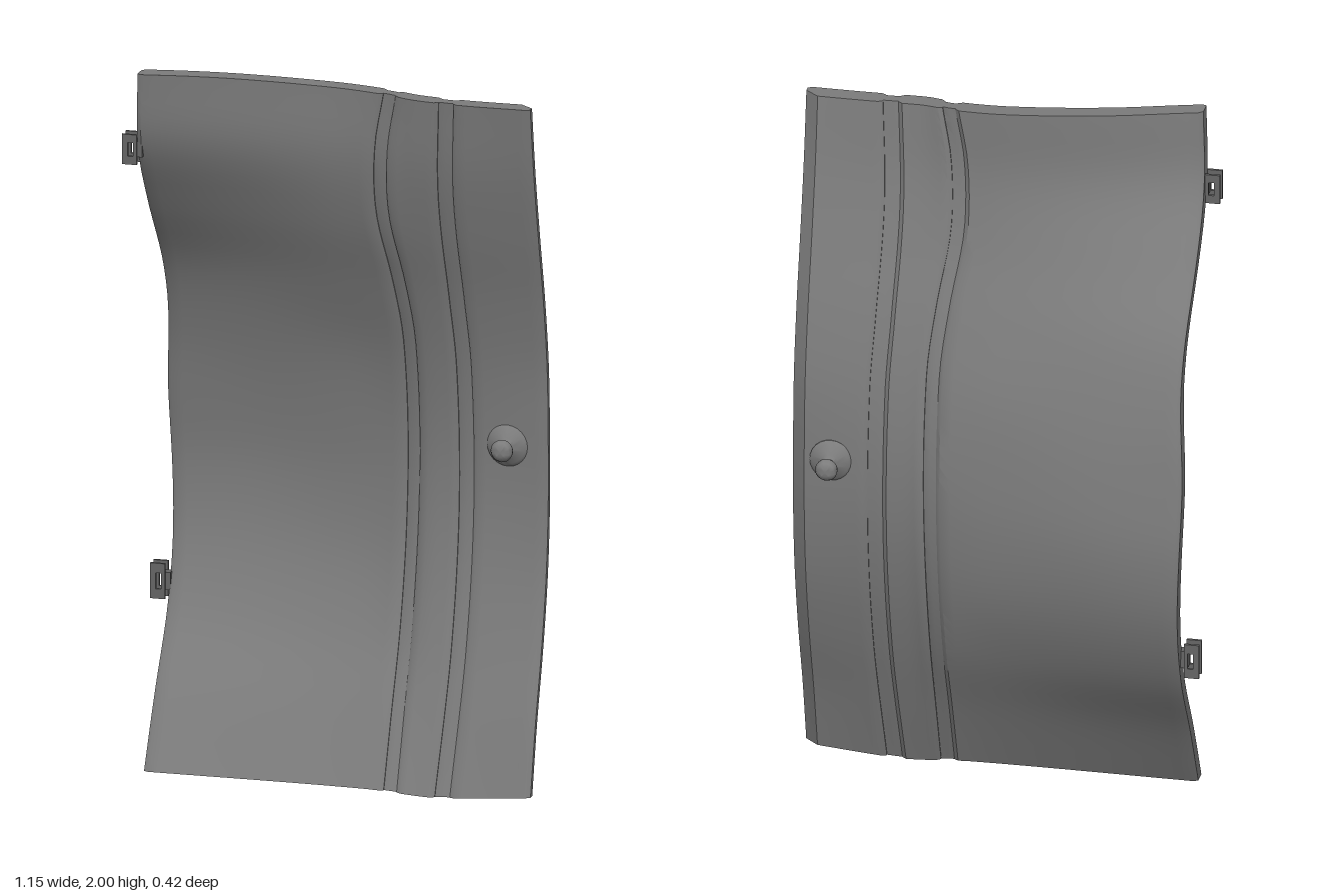
import * as THREE from 'three';
import { toCreasedNormals } from 'three/addons/utils/BufferGeometryUtils.js';

const material = new THREE.MeshStandardMaterial({ color: 0x7c7c7c });
const hingeMaterial = new THREE.MeshStandardMaterial({ color: 0x666666 });
const THICK = 0.055;

// Smooth curve through [position, value] pairs
function curve(points) {
  return (t) => {
    const n = points.length - 1;
    let i = 0;
    while (i < n - 1 && t > points[i + 1][0]) i++;
    const [p0, p1] = [points[i], points[i + 1]];
    const f = THREE.MathUtils.clamp((t - p0[0]) / (p1[0] - p0[0]), 0, 1);
    const a = points[Math.max(i - 1, 0)], b = points[Math.min(i + 2, n)];
    const h = p1[0] - p0[0];
    const m0 = ((p1[1] - a[1]) / (p1[0] - a[0])) * h, m1 = ((b[1] - p0[1]) / (b[0] - p0[0])) * h;
    const f2 = f * f, f3 = f2 * f;
    return (2 * f3 - 3 * f2 + 1) * p0[1] + (f3 - 2 * f2 + f) * m0 + (3 * f2 - 2 * f3) * p1[1] + (f3 - f2) * m1;
  };
}

// Depth of the back face: bowed profiles (every 0.2 in height) at several x stations
const stations = [
  [-0.53, [0.106, 0, -0.12, -0.19, -0.21, -0.19, -0.155, -0.09, 0.028, 0.132, 0.16]],
  [-0.27, [0.106, 0.01, -0.1, -0.168, -0.192, -0.177, -0.14, -0.08, 0.01, 0.085, 0.1]],
  [0, [0.106, 0.02, -0.07, -0.13, -0.15, -0.14, -0.11, -0.05, 0.02, 0.067, 0.073]],
  [0.15, [0.106, 0.03, -0.05, -0.1, -0.12, -0.115, -0.085, -0.03, 0.035, 0.075, 0.083]],
  [0.25, [0.106, 0.04, -0.02, -0.065, -0.09, -0.09, -0.065, -0.02, 0.038, 0.084, 0.107]],
  [0.57, [0.108, 0.06, 0, -0.045, -0.065, -0.065, -0.055, -0.02, 0.03, 0.076, 0.11]],
].map(([x, zs]) => [x, curve(zs.map((z, i) => [i * 0.2, z]))]);
const backZ = (x, y) => curve(stations.map(([sx, f]) => [sx, f(y)]))(x);

// Slightly uneven top and bottom edges
const topY = curve([[-0.53, 2], [-0.4, 1.997], [0, 1.982], [0.35, 1.97], [0.57, 1.97]]);
const bottomY = curve([[-0.53, 0.012], [0.1, 0.012], [0.28, 0.002], [0.36, 0.005], [0.57, 0.022]]);

// Board edges as they wander with height
const leftEdge = curve([[0, -0.525], [0.5, -0.526], [1, -0.542], [1.3, -0.527], [1.7, -0.538], [2, -0.528]]);
const seamA = curve([[0, 0.155], [0.5, 0.155], [1.25, 0.16], [1.45, 0.142], [1.65, 0.115], [1.85, 0.122], [2, 0.148]]);
const seamB = curve([[0, 0.3], [0.4, 0.313], [1.2, 0.313], [1.4, 0.305], [1.7, 0.298], [2, 0.312]]);
const gapA = (y) => seamA(y) + 0.037;
const gapB = (y) => seamB(y) + 0.043;
const rightEdge = () => 0.573;

// Bowed board between two edge curves, built from cross-section loops
function board(name, left, right, cols, { inset = 0, bevel = 0.012, backRight = bevel } = {}) {
  const rows = 48, N = 2 * (cols + 1), pos = [], index = [];
  for (let j = 0; j <= rows; j++) {
    const y0 = (j / rows) * 2, l = left(y0), r = right(y0);
    const back = [], front = [];
    for (let k = 0; k <= cols; k++) {
      const edge = k === 0 || k === cols;
      const point = (rightBevel, cut, side) => {
        const x = k === 0 ? l : k === cols ? r
          : THREE.MathUtils.lerp(l + bevel, r - rightBevel, (k - 1) / (cols - 2));
        const y = THREE.MathUtils.lerp(bottomY(x), topY(x), j / rows);
        const z = backZ(x, y0) + (side > 0 ? THICK : 0) - side * (inset + (edge ? cut : 0));
        return [x, y, z];
      };
      back.push(point(backRight, k === cols ? backRight * 0.8 : bevel * 0.6, -1));
      front.push(point(bevel, bevel * 0.6, 1));
    }
    pos.push(...[...back, ...front.reverse()].flat());
  }
  for (let j = 0; j < rows; j++)
    for (let i = 0; i < N; i++) {
      const a = j * N + i, b = j * N + ((i + 1) % N), d = a + N, c = b + N;
      index.push(a, d, c, a, c, b);
    }
  const t = rows * N;
  for (let k = 0; k < cols; k++) {
    const a = k, b = k + 1, c = N - 2 - k, d = N - 1 - k;
    index.push(t + a, t + d, t + c, t + a, t + c, t + b, a, c, d, a, b, c);
  }
  const g = new THREE.BufferGeometry();
  g.setAttribute('position', new THREE.Float32BufferAttribute(pos, 3));
  g.setIndex(index);
  const mesh = new THREE.Mesh(toCreasedNormals(g, 0.6), material);
  mesh.name = name;
  return mesh;
}

// Round rose, neck and flattened ball, turned about the axis pointing out of the door
function knob(name, z, facing) {
  const profile = [[0, -0.012], [0.06, -0.012], [0.06, 0], [0.05, 0.01], [0.025, 0.018], [0.015, 0.026], [0.013, 0.042],
    [0.022, 0.047], [0.03, 0.056], [0.031, 0.066], [0.025, 0.077], [0.013, 0.082], [0, 0.083]];
  const g = new THREE.LatheGeometry(profile.map(([r, h]) => new THREE.Vector2(r, h)), 24);
  const mesh = new THREE.Mesh(toCreasedNormals(g, 0.7), material);
  mesh.name = name;
  mesh.position.set(0.459, 0.965, z);
  mesh.rotation.x = facing * Math.PI / 2;
  return mesh;
}

// Pair of thin slotted hinge leaves on a short tab running into the door edge
function hinge(name, y, z, height) {
  const group = new THREE.Group();
  group.name = name;
  const h = height / 2, plate = new THREE.Shape();
  plate.moveTo(-0.024, -h).lineTo(0.018, -h).lineTo(0.018, h).lineTo(-0.024, h).closePath();
  const slot = new THREE.Path();
  slot.moveTo(-0.008, -h * 0.45).lineTo(-0.008, h * 0.45).lineTo(0.008, h * 0.45).lineTo(0.008, -h * 0.45).closePath();
  plate.holes.push(slot);
  const leafGeometry = new THREE.ExtrudeGeometry(plate, { depth: 0.008, bevelEnabled: false });
  for (const leafZ of [-0.022, 0.012]) {
    const leaf = new THREE.Mesh(leafGeometry, hingeMaterial);
    leaf.name = 'hingeLeaf';
    leaf.position.z = leafZ;
    group.add(leaf);
  }
  const tab = new THREE.Mesh(new THREE.BoxGeometry(0.022, height * 0.5, 0.028), hingeMaterial);
  tab.name = 'hingeTab';
  tab.position.x = 0.021;
  group.add(tab);
  group.position.set(-0.554, y, z);
  return group;
}

export function createModel() {
  const door = new THREE.Group();
  door.name = 'warpedDoor';
  door.add(
    board('wideBoard', leftEdge, seamA, 24),
    board('middleBoard', gapA, seamB, 8),
    board('outerBoard', gapB, rightEdge, 10, { backRight: 0.038 }),
    // Recessed strips behind the two seams
    board('innerSeam', (y) => seamA(y) - 0.012, (y) => gapA(y) + 0.012, 4, { inset: 0.011, bevel: 0.004 }),
    board('outerSeam', (y) => seamB(y) - 0.012, (y) => gapB(y) + 0.012, 4, { inset: 0.011, bevel: 0.004 }),
    knob('frontKnob', backZ(0.459, 0.965) + THICK, 1),
    knob('backKnob', backZ(0.459, 0.965), -1),
    hinge('upperHinge', 1.778, 0.168, 0.085),
    hinge('lowerHinge', 0.482, -0.107, 0.1),
  );
  return door;
}
